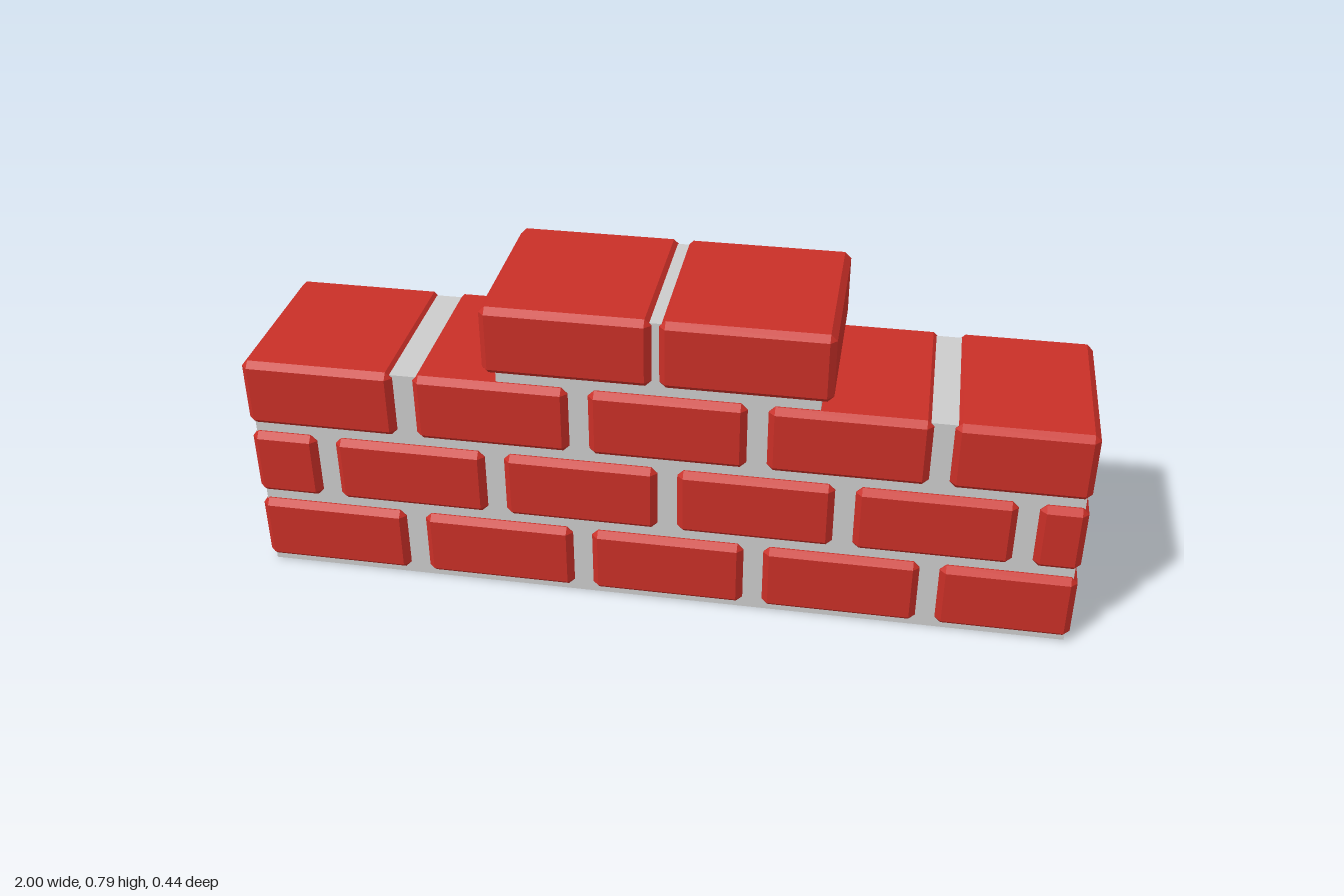
import * as THREE from 'three';
import { ConvexGeometry } from 'three/addons/geometries/ConvexGeometry.js';

const BEVEL = 0.015;
const BRICK_H = 0.173, BRICK_DEPTH = 0.436;
const ROW_STEP = 0.199, FIRST_ROW = 0.017;

// Box with every edge chamfered: the hull of three points at each corner
function chamferBox(w, h, d, b) {
  const points = [];
  for (const sx of [-1, 1]) for (const sy of [-1, 1]) for (const sz of [-1, 1]) {
    for (let axis = 0; axis < 3; axis++) {
      const inset = [b, b, b];
      inset[axis] = 0;
      points.push(new THREE.Vector3(
        sx * (w / 2 - inset[0]), sy * (h / 2 - inset[1]), sz * (d / 2 - inset[2])));
    }
  }
  return new ConvexGeometry(points);
}

export function createModel() {
  const model = new THREE.Group();
  model.name = 'brickWall';
  const brickMat = new THREE.MeshStandardMaterial({ color: 0xc92f27, flatShading: true });
  const mortarMat = new THREE.MeshStandardMaterial({ color: 0xcccccc });

  // Mortar cores: the main wall and the short raised course
  const addMortar = (name, x0, x1, y0, y1) => {
    const mesh = new THREE.Mesh(new THREE.BoxGeometry(x1 - x0, y1 - y0, 0.4), mortarMat);
    mesh.name = name;
    mesh.position.set((x0 + x1) / 2, (y0 + y1) / 2, 0);
    model.add(mesh);
  };
  addMortar('wallMortar', -0.99, 0.99, 0, 0.58);
  addMortar('topMortar', -0.378, 0.378, 0.58, 0.777);

  // Courses of bricks as [left, right] spans; cut bricks close the ends
  const fullCourse = [[-1, -0.63], [-0.58, -0.208], [-0.16, 0.212], [0.26, 0.633], [0.68, 1]];
  const offsetCourse = [[-1, -0.838], [-0.79, -0.418], [-0.37, 0.002], [0.05, 0.422], [0.47, 0.842], [0.89, 1]];
  const topCourse = [[-0.408, -0.01], [0.008, 0.406]];

  [fullCourse, offsetCourse, fullCourse, topCourse].forEach((spans, row) => {
    const course = new THREE.Group();
    course.name = `brickCourse${row + 1}`;
    course.position.y = FIRST_ROW + row * ROW_STEP + BRICK_H / 2;
    spans.forEach(([x0, x1], i) => {
      const brick = new THREE.Mesh(chamferBox(x1 - x0, BRICK_H, BRICK_DEPTH, BEVEL), brickMat);
      brick.name = `brick${i + 1}`;
      brick.position.x = (x0 + x1) / 2;
      course.add(brick);
    });
    model.add(course);
  });
  return model;
}
